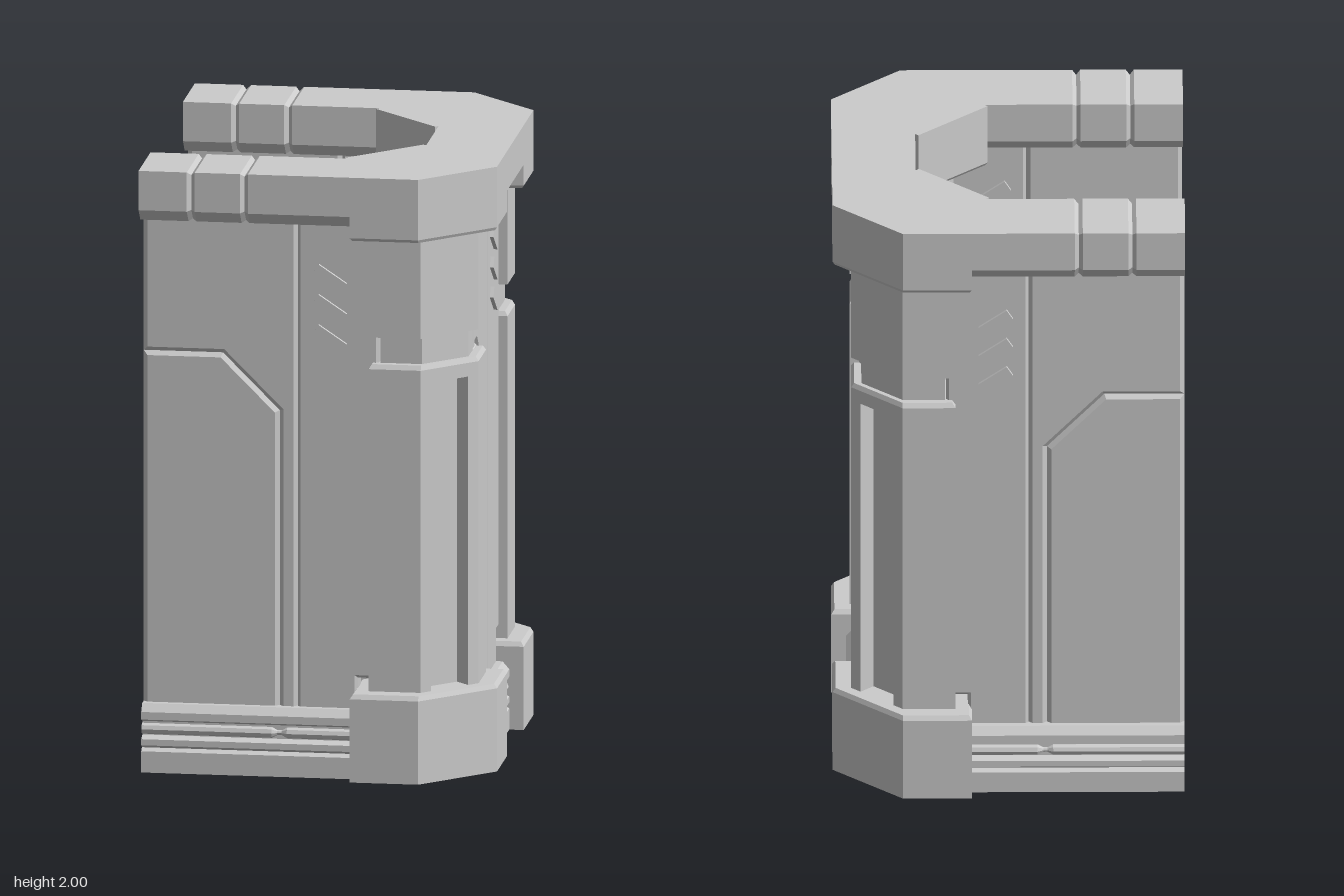
import * as THREE from 'three';

const material = new THREE.MeshStandardMaterial({ color: 0xcccccc, flatShading: true, side: THREE.DoubleSide });

function add(parent, name, geometry) {
  const mesh = new THREE.Mesh(geometry, material);
  mesh.name = name;
  parent.add(mesh);
  return mesh;
}

// Prism along z: polygon scaled about a centre at each [z, scale] level, capped at both ends
function prism(points, levels, [cx, cy]) {
  let poly = points.map(([x, y]) => new THREE.Vector2(x, y));
  if (THREE.ShapeUtils.isClockWise(poly)) poly = poly.reverse();
  const n = poly.length;
  const position = [], index = [];
  for (const [z, s] of levels)
    for (const p of poly) position.push(cx + (p.x - cx) * s, cy + (p.y - cy) * s, z);
  for (let k = 0; k < levels.length - 1; k++)
    for (let i = 0; i < n; i++) {
      const a = k * n + i, b = k * n + (i + 1) % n;
      index.push(a, b, b + n, a, b + n, a + n);
    }
  const last = (levels.length - 1) * n;
  for (const [a, b, c] of THREE.ShapeUtils.triangulateShape(poly, []))
    index.push(c, b, a, last + a, last + b, last + c);
  const g = new THREE.BufferGeometry();
  g.setAttribute('position', new THREE.Float32BufferAttribute(position, 3));
  g.setIndex(index);
  const flat = g.toNonIndexed();
  flat.computeVertexNormals();
  return flat;
}

// Upright prism from a plan of [x, z] points
const upright = (plan, levels, [cx, cz]) =>
  prism(plan.map(([x, z]) => [x, -z]), levels, [cx, -cz]).rotateX(-Math.PI / 2);

// Bar along x from a [z, y] profile
const bar = (profile, levels, centre) => prism(profile, levels, centre).rotateY(Math.PI / 2);

// Slab of the wall, centred on z = 0, with optional chamfered edges on both faces
function slab(points, half, bevel) {
  const shape = new THREE.Shape(points.map(([x, y]) => new THREE.Vector2(x, y)));
  const depth = 2 * (half - bevel);
  return new THREE.ExtrudeGeometry(shape, {
    depth, bevelEnabled: bevel > 0, bevelThickness: bevel, bevelSize: bevel, bevelOffset: -bevel, bevelSegments: 1,
  }).translate(0, 0, -depth / 2);
}

// One wall running along x from u0 to u1, alike on both faces
function makeWall(name, u0, u1, capEnd, capLevels) {
  const wall = new THREE.Group();
  wall.name = name;
  const half = 0.045, bevel = 0.014, y0 = 0.2, y1 = 1.86;
  const seam = -0.065, side = -0.125, knee = 1.2, bend = -0.31, head = 1.385;

  // thin core closes the bottom of the grooves
  add(wall, 'wallCore', slab(
    [[u0, y0], [0.13, y0], [0.13, 0.325], [u1, 0.325], [u1, y1], [u0, y1]], half - bevel, 0));
  // plates divided by V grooves
  add(wall, 'lowerPanel', slab(
    [[u0, y0], [side, y0], [side, knee], [bend, head], [u0, head]], half, bevel));
  add(wall, 'framePlate', slab(
    [[side, y0], [seam, y0], [seam, y1], [u0, y1], [u0, head], [bend, head], [side, knee]], half, bevel));
  add(wall, 'columnPlate', slab(
    [[seam, y0], [0.13, y0], [0.13, 0.325], [u1, 0.325], [u1, y1], [seam, y1]], half, bevel * 0.7));

  // slanted vent bars
  for (const y of [1.645, 1.545, 1.445]) {
    const vent = add(wall, 'ventBar', new THREE.BoxGeometry(0.11, 0.038, 2 * half + 0.024));
    vent.position.set(0.04, y, 0);
    vent.rotation.z = -0.59;
  }

  // ribbed skirting and pinched rod on each face
  const skirting = [[0.02, 0], [0.088, 0], [0.088, 0.07], [0.072, 0.08], [0.088, 0.09], [0.088, 0.11],
    [0.062, 0.12], [0.062, 0.165], [0.088, 0.175], [0.088, 0.2], [0.066, 0.225], [0.02, 0.225]];
  const rod = [[0, u0], [0.018, u0], [0.018, -0.145], [0.008, -0.127], [0.008, -0.113], [0.018, -0.095],
    [0.018, 0.18], [0, 0.18]].map(([r, u]) => new THREE.Vector2(r, u));
  for (const s of [1, -1]) {
    add(wall, 'skirting', bar(skirting.map(([z, y]) => [z * s, y]), [[u0, 1], [0.18, 1]], [0, 0.1]));
    const m = add(wall, 'skirtingRod', new THREE.LatheGeometry(rod, 8).rotateZ(-Math.PI / 2));
    m.position.set(0, 0.142, 0.068 * s);
  }

  // top beam with chamfered underside
  const beam = [[-0.135, 1.87], [-0.095, 1.83], [0.095, 1.83], [0.135, 1.87], [0.135, 2], [-0.135, 2]];
  add(wall, 'topBeam', bar(beam, [...capLevels, [capEnd, 1]], [0, 1.9]));
  return wall;
}

// Corner column; s = 1 at the front, -1 at the back
function makeColumn(name, s) {
  const column = new THREE.Group();
  column.name = name;
  const centre = [0.34, 0.4125 * s];
  const plan = pts => pts.map(([x, z]) => [x, z * s]);
  const hexagon = [[0.17, 0.575], [0.34, 0.575], [0.505, 0.41], [0.505, 0.24], [0.34, 0.24], [0.17, 0.41]];
  const slotted = [...hexagon];
  slotted.splice(2, 0, [0.37, 0.545], [0.328, 0.503], [0.433, 0.398], [0.475, 0.44]);
  const foot = [[0.117, 0.635], [0.34, 0.635], [0.565, 0.41], [0.565, 0.19], [0.34, 0.19], [0.117, 0.41]];
  const capital = [...foot];
  capital.splice(4, 2, [0.34, 0.185], [0.285, 0.13], [0.06, 0.355], [0.115, 0.41]);

  add(column, 'foot', upright(plan(foot), [[0, 1], [0.275, 1], [0.29, 0.955]], centre));
  add(column, 'slottedShaft', upright(plan(slotted), [[0.28, 1], [1.31, 1]], centre));
  add(column, 'shaftTop', upright(plan(hexagon), [[1.31, 1], [1.355, 1], [1.37, 0.94]], centre));
  add(column, 'neck', upright(plan(hexagon), [[1.36, 0.8], [1.47, 0.8]], centre));
  add(column, 'upperShaft', upright(plan(hexagon), [[1.46, 1], [1.8, 1]], centre));
  add(column, 'capital', upright(plan(capital), [[1.79, 0.97], [1.8, 1], [2, 1]], centre));
  return column;
}

export function createModel() {
  const model = new THREE.Group();
  model.name = 'wallBay';

  // beam sections with two V grooves near the open end
  const grooved = [[-0.57, 1]];
  for (const u of [-0.4, -0.227]) grooved.push([u - 0.013, 1], [u, 0.89], [u + 0.013, 1]);

  for (const [name, z] of [['frontWall', 0.5], ['backWall', -0.5]]) {
    const wall = makeWall(name, -0.568, 0.2, 0.13, grooved);
    wall.position.z = z;
    model.add(wall);
  }
  const sideWall = makeWall('sideWall', -0.4, 0.2, 0.2, [[-0.33, 1]]);
  sideWall.rotation.y = Math.PI / 2;
  sideWall.position.set(0.43, 0, -0.065);
  model.add(sideWall);

  model.add(makeColumn('frontColumn', 1), makeColumn('backColumn', -1));
  return model;
}
